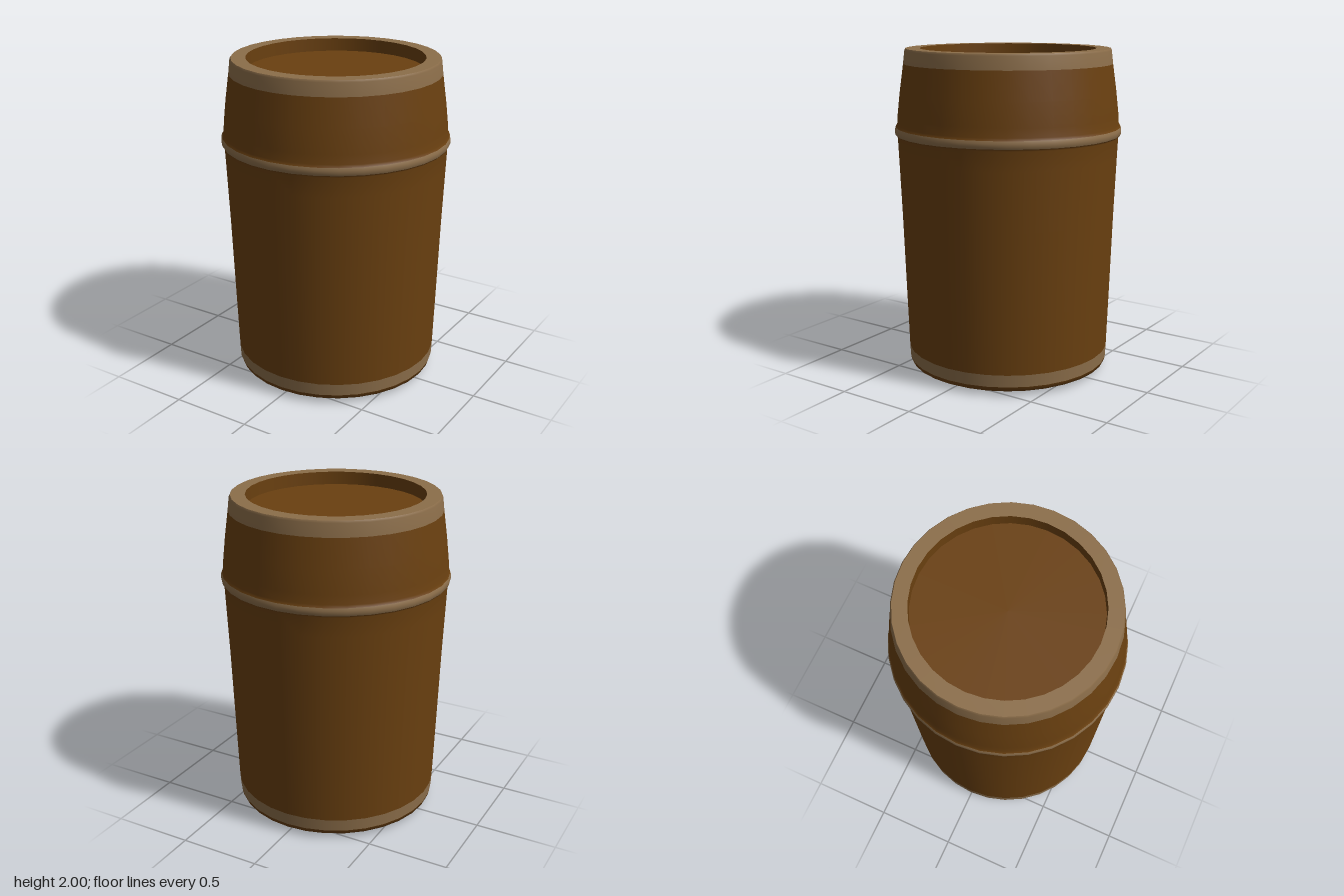
import * as THREE from 'three';

const SIDES = 32;
const brown = new THREE.MeshStandardMaterial({ color: 0x6a4010 });
const tan = new THREE.MeshStandardMaterial({ color: 0x8c6e4a });

export function createModel() {
  const barrel = new THREE.Group();
  barrel.name = 'barrel';

  // Each part is turned from [radius, height] points; separate parts keep sharp edges
  const turn = (name, material, points) => {
    const profile = points.map(([r, y]) => new THREE.Vector2(r, y));
    const mesh = new THREE.Mesh(new THREE.LatheGeometry(profile, SIDES), material);
    mesh.name = name;
    barrel.add(mesh);
  };

  // Slightly domed underside
  turn('base', brown, [[0, 0.005], [0.3, 0.008], [0.5, 0.015], [0.59, 0.025], [0.62, 0.04], [0.628, 0.065]]);
  turn('bottomBand', tan, [[0.628, 0.065], [0.632, 0.14]]);

  // Tapered lower wall, swelling into the raised hoop
  turn('lowerWall', brown, [[0.632, 0.14], [0.644, 0.5], [0.66, 1], [0.674, 1.35], [0.679, 1.47], [0.69, 1.483]]);
  turn('hoop', tan, [[0.69, 1.483], [0.696, 1.497], [0.696, 1.515], [0.69, 1.53]]);
  turn('upperWall', brown, [[0.69, 1.53], [0.681, 1.545], [0.678, 1.6], [0.662, 1.74], [0.638, 1.91]]);

  // Rim with a small bevel around its outer edge
  turn('topBand', tan, [[0.638, 1.91], [0.629, 1.988], [0.622, 2]]);
  turn('rim', tan, [[0.622, 2], [0.535, 2]]);

  // Recessed lid
  turn('rimInnerWall', brown, [[0.535, 2], [0.535, 1.92]]);
  turn('lid', brown, [[0.535, 1.92], [0, 1.92]]);

  return barrel;
}
